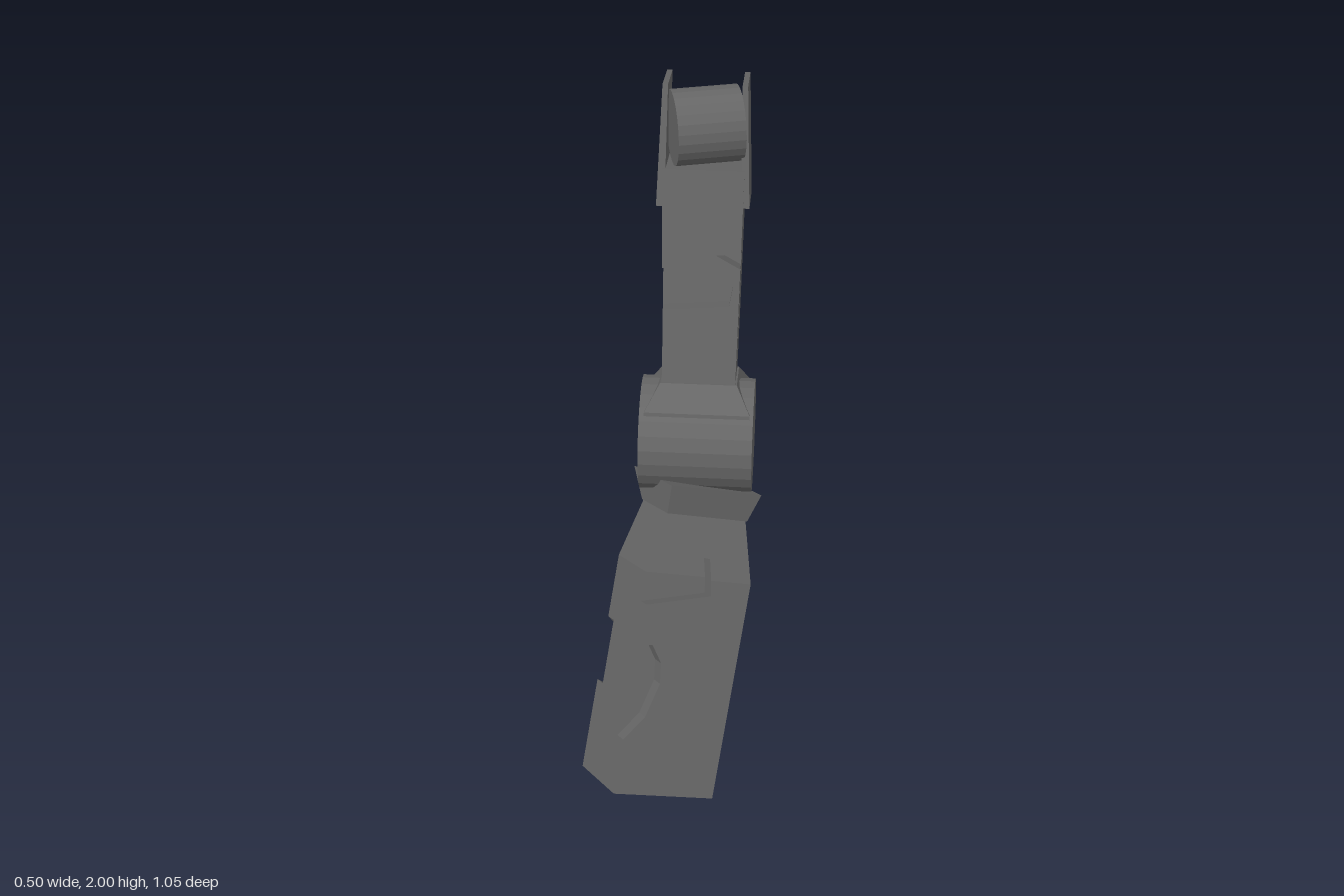
import * as THREE from 'three';

const grey = new THREE.MeshStandardMaterial({ color: 0x666666 });
grey.name = 'dark grey';

function flat(geometry) {
  const g = geometry.index ? geometry.toNonIndexed() : geometry;
  g.computeVertexNormals();
  return g;
}

function part(name, geometry, parent) {
  const mesh = new THREE.Mesh(flat(geometry), grey);
  mesh.name = name;
  parent.add(mesh);
  return mesh;
}

// Solid through rectangular sections [y, x0, x1, z0, z1], from bottom to top
function loft(sections) {
  const pos = [], index = [];
  for (const [y, x0, x1, z0, z1] of sections) {
    pos.push(x0, y, z1, x1, y, z1, x1, y, z0, x0, y, z0);
  }
  for (let s = 0; s < sections.length - 1; s++) {
    for (let i = 0; i < 4; i++) {
      const a = s * 4 + i, b = s * 4 + (i + 1) % 4;
      index.push(a, b, b + 4, a, b + 4, a + 4);
    }
  }
  const t = (sections.length - 1) * 4;
  index.push(t, t + 1, t + 2, t, t + 2, t + 3, 3, 2, 1, 3, 1, 0);
  const g = new THREE.BufferGeometry();
  g.setAttribute('position', new THREE.Float32BufferAttribute(pos, 3));
  g.setIndex(index);
  return g;
}

// Notched panel: an outline in x, y extruded between z0 and z1
function slab(points, z0, z1) {
  const shape = new THREE.Shape(points.map(([x, y]) => new THREE.Vector2(x, y)));
  const g = new THREE.ExtrudeGeometry(shape, { depth: z1 - z0, bevelEnabled: false });
  return g.translate(0, 0, z0);
}

function buildUpperArm() {
  const arm = new THREE.Group();
  arm.name = 'upperArm';
  arm.position.set(0.062, 1.005, -0.13);
  arm.rotation.x = -0.26;

  part('upperArmCore', loft([
    [0.165, -0.103, 0.103, -0.1, 0.007],
    [0.346, -0.106, 0.106, -0.118, 0.007],
    [0.785, -0.112, 0.112, -0.132, 0.007],
  ]), arm);

  // Front panel with a wide notch on one side and a small wedge on the other
  part('upperArmFrontPanel', slab([
    [-0.103, 0.165], [0.103, 0.165], [0.108, 0.508], [0.04, 0.545], [0.109, 0.552],
    [0.112, 0.785], [-0.112, 0.785], [-0.108, 0.505], [0.06, 0.49], [0.09, 0.46],
    [0.08, 0.4], [-0.105, 0.385],
  ], 0.007, 0.057), arm);

  // Flared collar that sits on the elbow
  part('upperCollar', loft([
    [0.058, -0.148, 0.148, -0.16, 0.13],
    [0.105, -0.148, 0.148, -0.162, 0.132],
    [0.17, -0.108, 0.108, -0.102, 0.062],
  ]), arm);

  // Shoulder side plates
  for (const s of [-1, 1]) {
    const span = (y, inner, outer) =>
      [y, Math.min(s * inner, s * outer), Math.max(s * inner, s * outer), -0.135, 0.053];
    part(s > 0 ? 'leftShoulderPlate' : 'rightShoulderPlate',
      loft([span(0.68, 0.105, 0.128), span(1.017, 0.1, 0.115)]), arm);
  }
  return arm;
}

function buildForearm() {
  const arm = new THREE.Group();
  arm.name = 'forearm';
  // Tilted and twisted frame: across, along and forward
  const along = new THREE.Vector3(0.138, 0.864, -0.482).normalize();
  const forward = new THREE.Vector3(0.89, -0.323, -0.323).cross(along).normalize();
  const across = along.clone().cross(forward);
  arm.quaternion.setFromRotationMatrix(new THREE.Matrix4().makeBasis(across, along, forward));
  arm.position.set(-0.054, 0.1025, 0.37);

  part('forearmCore', loft([
    [0, -0.155, 0.155, -0.085, 0.084],
    [0.64, -0.155, 0.155, -0.085, 0.084],
    [0.64, -0.155, 0.155, -0.129, 0.084],
    [0.815, -0.12, 0.12, -0.1, 0.05],
  ]), arm);

  // Front panel with a crescent notch and the lower half of the square recess
  part('forearmFrontPanel', slab([
    [-0.155, 0], [0.155, 0], [0.155, 0.64], [0.03, 0.64], [0.037, 0.595], [-0.155, 0.555],
    [-0.155, 0.44], [-0.115, 0.44], [-0.08, 0.39], [-0.072, 0.33], [-0.1, 0.23], [-0.155, 0.16],
  ], 0.084, 0.129), arm);

  // Tapering front panel around the upper half of the recess
  const taper = slab([
    [0.03, 0.64], [0.155, 0.64], [0.12, 0.815], [-0.12, 0.815], [-0.14, 0.715], [0.02, 0.7],
  ], 0.084, 0.129);
  const p = taper.attributes.position;
  for (let i = 0; i < p.count; i++) {
    p.setZ(i, p.getZ(i) - (p.getY(i) - 0.64) / 0.175 * 0.034);
  }
  part('forearmTaperPanel', taper, arm);

  // Back panel with a wedge notch
  part('forearmBackPanel', slab([
    [-0.155, 0], [0.155, 0], [0.155, 0.64], [-0.155, 0.64], [-0.155, 0.455], [-0.03, 0.36],
    [0.11, 0.415], [0.06, 0.31], [0, 0.255], [-0.08, 0.235], [-0.155, 0.265],
  ], -0.129, -0.085), arm);

  // Flared collar below the elbow
  part('forearmCollar', loft([
    [0.815, -0.125, 0.125, -0.1, 0.095],
    [0.9, -0.142, 0.138, -0.157, 0.13],
  ]), arm);
  return arm;
}

export function createModel() {
  const model = new THREE.Group();
  model.name = 'jointedArm';
  model.add(buildUpperArm(), buildForearm());

  // Elbow drum
  const elbow = part('elbowDrum',
    new THREE.CylinderGeometry(0.163, 0.163, 0.32, 24).rotateZ(Math.PI / 2), model);
  elbow.position.set(0.06, 1.005, -0.13);

  // Shoulder drum, turned a little about the vertical
  const shoulder = part('shoulderDrum',
    new THREE.CylinderGeometry(0.104, 0.104, 0.185, 24).rotateZ(Math.PI / 2), model);
  shoulder.position.set(0.064, 1.88, -0.345);
  shoulder.rotation.y = 0.24;
  return model;
}
